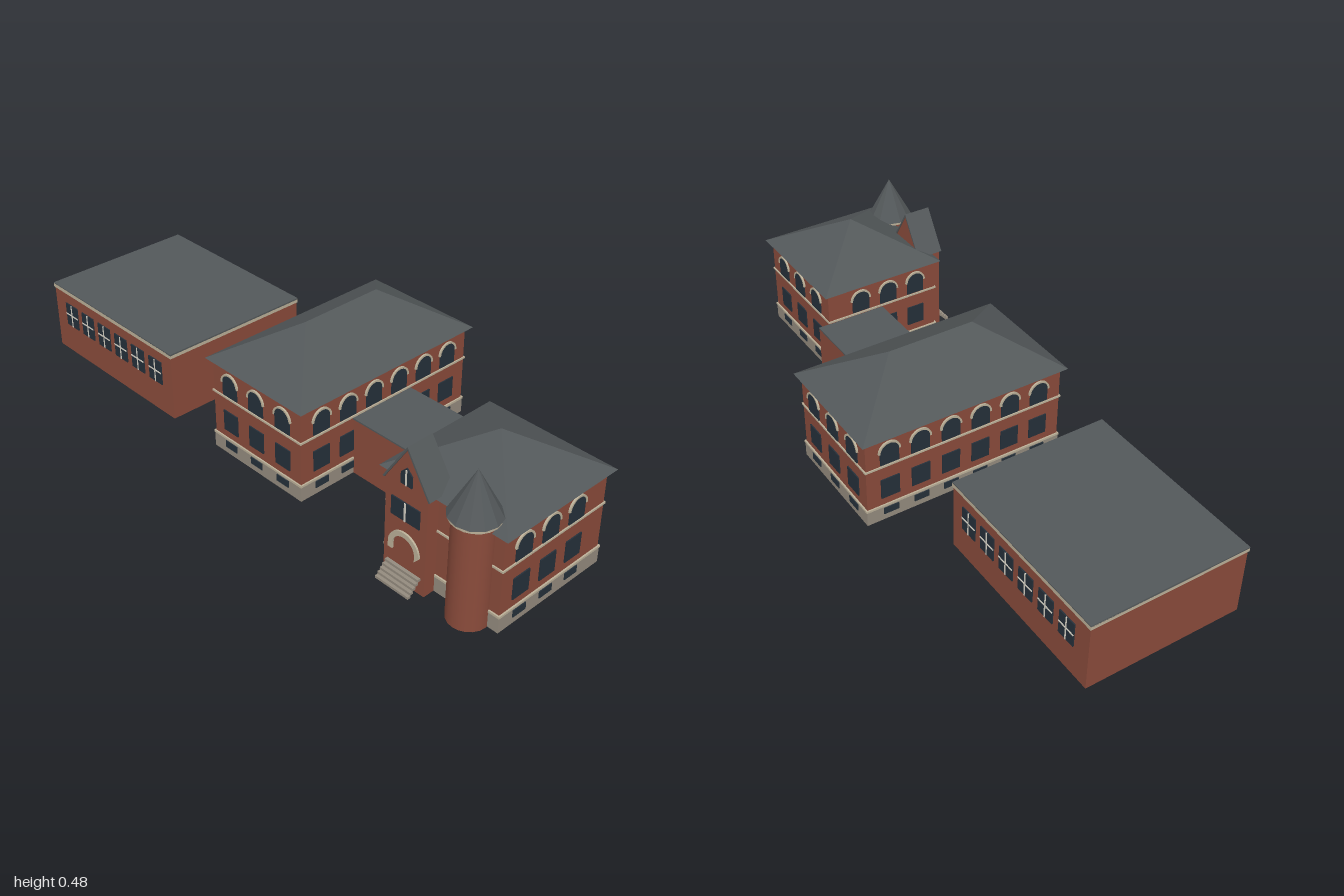
import * as THREE from 'three';

const mat = (name, color, side = THREE.FrontSide) => {
  const m = new THREE.MeshStandardMaterial({ color, side });
  m.name = name;
  return m;
};

export function createModel() {
  const brick = mat('brick', 0x8a4b3b, THREE.DoubleSide);
  const slate = mat('slate', 0x53585a, THREE.DoubleSide);
  const glass = mat('glass', 0x25303a);
  const trim = mat('cream trim', 0xbbb098);
  const stone = mat('plinth stone', 0x948b7e, THREE.DoubleSide);
  const white = mat('window frame', 0xd2cec2);

  const add = (parent, name, geo, m, x = 0, y = 0, z = 0) => {
    const mesh = new THREE.Mesh(geo, m);
    mesh.name = name;
    mesh.position.set(x, y, z);
    parent.add(mesh);
    return mesh;
  };
  const group = (parent, name) => {
    const g = new THREE.Group();
    g.name = name;
    parent.add(g);
    return g;
  };
  // Box given by its limits
  const block = (parent, name, m, [x0, x1, z0, z1], y0, y1, grow = 0) =>
    add(parent, name, new THREE.BoxGeometry(x1 - x0 + 2 * grow, y1 - y0, z1 - z0 + 2 * grow), m,
      (x0 + x1) / 2, (y0 + y1) / 2, (z0 + z1) / 2);
  const fromTriangles = (points, index) => {
    const g = new THREE.BufferGeometry();
    g.setAttribute('position', new THREE.Float32BufferAttribute(points.flat(), 3));
    g.setIndex(index);
    const flat = g.toNonIndexed();
    flat.computeVertexNormals();
    return flat;
  };
  // Four walls with no floor or ceiling
  const walls = (parent, name, m, [x0, x1, z0, z1], y0, y1, grow = 0) => {
    const pts = [y0, y1].flatMap(y => [
      [x0 - grow, y, z1 + grow], [x1 + grow, y, z1 + grow],
      [x1 + grow, y, z0 - grow], [x0 - grow, y, z0 - grow]]);
    const index = [];
    for (let i = 0; i < 4; i++) {
      const j = (i + 1) % 4;
      index.push(i, j, j + 4, i, j + 4, i + 4);
    }
    return add(parent, name, fromTriangles(pts, index), m);
  };
  // Hipped roof with its ridge along z; equal ridge ends make a pyramid
  const hipRoof = (parent, [x0, x1, z0, z1], y0, y1, r0, r1) => {
    const c = (x0 + x1) / 2;
    const pts = [[x0, y0, z1], [x1, y0, z1], [x1, y0, z0], [x0, y0, z0], [c, y1, r1], [c, y1, r0]];
    const index = [0, 1, 4, 2, 3, 5, 1, 2, 5, 3, 0, 4, 0, 3, 2, 0, 2, 1];
    if (r0 !== r1) index.push(1, 5, 4, 3, 4, 5);
    add(parent, 'hippedRoof', fromTriangles(pts, index), slate);
  };
  // Group lying on one wall: local x runs along it, local z points outwards
  const facade = (parent, name, [x0, x1, z0, z1], side) => {
    const g = group(parent, name);
    const cx = (x0 + x1) / 2, cz = (z0 + z1) / 2;
    const [x, z, turn] = {
      front: [cx, z1, 0], back: [cx, z0, Math.PI],
      left: [x1, cz, Math.PI / 2], right: [x0, cz, -Math.PI / 2],
    }[side];
    g.position.set(x, 0, z);
    g.rotation.y = turn;
    return g;
  };
  const plate = (parent, name, m, x, y0, y1, w, z = 0.002) =>
    add(parent, name, new THREE.BoxGeometry(w, y1 - y0, 0.004), m, x, (y0 + y1) / 2, z);
  const archRing = (inner, outer, leg) => {
    const s = new THREE.Shape();
    s.moveTo(outer, -leg);
    s.absarc(0, 0, outer, 0, Math.PI);
    s.lineTo(-outer, -leg);
    s.lineTo(-inner, -leg);
    s.absarc(0, 0, inner, Math.PI, 0, true);
    s.lineTo(inner, -leg);
    return new THREE.ExtrudeGeometry(s, { depth: 0.006, bevelEnabled: false, curveSegments: 14 });
  };
  const arched = new THREE.Shape();
  arched.moveTo(-0.0315, -0.044);
  arched.lineTo(0.0315, -0.044);
  arched.absarc(0, 0, 0.0315, 0, Math.PI);
  const archedGeo = new THREE.ExtrudeGeometry(arched, { depth: 0.004, bevelEnabled: false, curveSegments: 14 });
  const windowArch = archRing(0.0315, 0.0375, 0);

  // One window column: plinth light, square window, arched window
  const bay = (f, x) => {
    plate(f, 'basementWindow', glass, x, 0.022, 0.045, 0.051, 0.004);
    plate(f, 'lowerWindow', glass, x, 0.084, 0.154, 0.063);
    add(f, 'archedWindow', archedGeo, glass, x, 0.254, 0);
    add(f, 'windowArch', windowArch, trim, x, 0.254, 0);
  };
  // Brick hall with stone plinth and two string courses
  const hall = (parent, area) => {
    block(parent, 'brickWalls', brick, area, 0.049, 0.313);
    walls(parent, 'plinth', stone, area, 0, 0.05, 0.003);
    block(parent, 'plinthCourse', trim, area, 0.05, 0.057, 0.005);
    block(parent, 'stringCourse', trim, area, 0.2, 0.206, 0.004);
  };

  const model = new THREE.Group();
  model.name = 'schoolBuildings';

  // Flat-roofed annex
  const annex = group(model, 'annex');
  const annexArea = [-0.997, -0.358, -0.207, 0.317];
  walls(annex, 'annexWalls', brick, annexArea, 0, 0.226);
  walls(annex, 'annexCornice', trim, annexArea, 0.224, 0.237, 0.003);
  block(annex, 'annexRoof', slate, annexArea, 0.235, 0.24, 0.003);
  for (const side of ['front', 'back']) {
    const f = facade(annex, side + 'Facade', annexArea, side);
    for (let i = 0; i < 6; i++) {
      const x = (i - 2.5) * 0.0925 + (side === 'front' ? 0.005 : -0.005);
      plate(f, 'annexWindow', glass, x, 0.105, 0.187, 0.065);
      plate(f, 'mullion', white, x, 0.105, 0.187, 0.004, 0.004);
      plate(f, 'transom', white, x, 0.146, 0.15, 0.065, 0.004);
    }
  }

  // Main hall
  const main = group(model, 'mainHall');
  const mainArea = [-0.155, 0.232, -0.378, 0.308];
  hall(main, mainArea);
  hipRoof(main, [-0.175, 0.25, -0.395, 0.323], 0.313, 0.442, -0.18, 0.11);
  for (const side of ['front', 'back', 'left', 'right']) {
    const f = facade(main, side + 'Facade', mainArea, side);
    const n = side === 'front' || side === 'back' ? 3 : 6;
    for (let i = 0; i < n; i++) bay(f, (i - (n - 1) / 2) * (n === 3 ? 0.117 : 0.1055));
  }

  // Link between the halls
  const link = group(model, 'link');
  const linkArea = [0.232, 0.577, -0.14, 0.1];
  walls(link, 'linkWalls', brick, linkArea, 0, 0.192);
  block(link, 'linkRoof', slate, linkArea, 0.191, 0.196, 0.001);

  // Entrance hall
  const entry = group(model, 'entranceHall');
  const entryArea = [0.577, 0.981, -0.102, 0.308];
  hall(entry, entryArea);
  hipRoof(entry, [0.557, 1, -0.12, 0.323], 0.313, 0.437, 0.102, 0.102);
  for (const side of ['back', 'left', 'right']) {
    const f = facade(entry, side + 'Facade', entryArea, side);
    const shift = { back: 0, left: -0.022, right: 0.022 }[side];
    for (let i = -1; i <= 1; i++) bay(f, i * (side === 'back' ? 0.117 : 0.106) + shift);
  }

  // Gabled porch
  const porch = group(entry, 'porch');
  porch.position.set(0.685, 0, 0.35);
  const gable = new THREE.Shape([[-0.075, 0], [0.075, 0], [0.075, 0.325], [0, 0.443], [-0.075, 0.325]]
    .map(p => new THREE.Vector2(...p)));
  add(porch, 'porchWalls', new THREE.ExtrudeGeometry(gable, { depth: 0.086, bevelEnabled: false }), brick, 0, 0, -0.086);
  for (const s of [-1, 1]) {
    const slab = new THREE.Shape([[0, 0.441], [0, 0.451], [s * 0.084, 0.32], [s * 0.079, 0.317]]
      .map(p => new THREE.Vector2(...p)));
    add(porch, 'porchRoof', new THREE.ExtrudeGeometry(slab, { depth: 0.092, bevelEnabled: false }), slate, 0, 0, -0.088);
  }
  add(porch, 'doorArch', archRing(0.04, 0.056, 0.018), trim, 0, 0.12, 0);
  plate(porch, 'porchWindow', glass, 0, 0.214, 0.273, 0.102);
  plate(porch, 'porchMullion', white, 0, 0.214, 0.273, 0.006, 0.004);
  const lancet = new THREE.Shape([[-0.02, 0.33], [0.02, 0.33], [0.02, 0.366], [0, 0.386], [-0.02, 0.366]]
    .map(p => new THREE.Vector2(...p)));
  add(porch, 'gableWindow', new THREE.ExtrudeGeometry(lancet, { depth: 0.004, bevelEnabled: false }), glass);
  plate(porch, 'gableMullion', white, 0, 0.33, 0.38, 0.005, 0.004);
  for (let i = 0; i < 5; i++) {
    add(porch, 'step', new THREE.BoxGeometry(0.122, 0.008, 0.011), stone, 0, 0.014 + i * 0.0095, 0.041 - i * 0.009);
  }

  // Corner turret
  const turret = group(entry, 'turret');
  turret.position.set(0.888, 0, 0.318);
  add(turret, 'turretWall', new THREE.CylinderGeometry(0.061, 0.061, 0.33, 20, 1, true), brick, 0, 0.165, 0);
  add(turret, 'turretCornice', new THREE.CylinderGeometry(0.071, 0.071, 0.009, 20), trim, 0, 0.3345, 0);
  const cone = new THREE.ConeGeometry(0.075, 0.137, 12).toNonIndexed();
  cone.computeVertexNormals();
  add(turret, 'turretRoof', cone, slate, 0, 0.4075, 0);

  return model;
}
